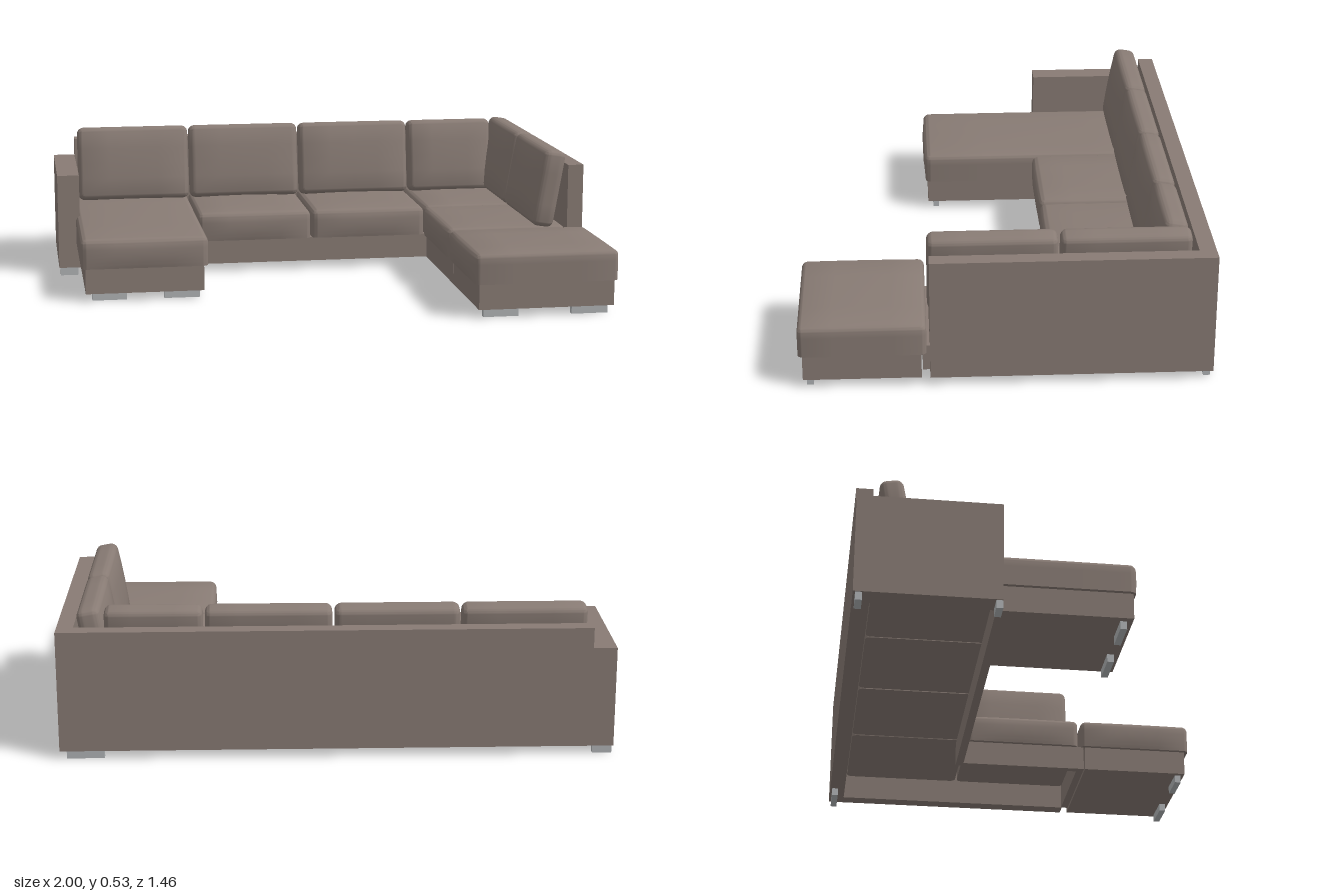
import * as THREE from 'three';
import { toCreasedNormals } from 'three/addons/utils/BufferGeometryUtils.js';

const upholstery = new THREE.MeshStandardMaterial({ color: 0x887b74 });
upholstery.name = 'taupe upholstery';
const metal = new THREE.MeshStandardMaterial({ color: 0xb0b3b5 });
metal.name = 'grey metal';

// Box given by its limits on each axis
function block(name, [x0, x1], [y0, y1], [z0, z1], material = upholstery) {
  const mesh = new THREE.Mesh(new THREE.BoxGeometry(x1 - x0, y1 - y0, z1 - z0), material);
  mesh.position.set((x0 + x1) / 2, (y0 + y1) / 2, (z0 + z1) / 2);
  mesh.name = name;
  return mesh;
}

// Padded cushion facing local +z: rounded edges, swollen top and front
function cushionGeometry(w, h, d, { r = 0.025, crown = 0, bulge = 0, squareBottom = false }) {
  const n = 12, edge = 4;
  const geo = new THREE.BoxGeometry(2, 2, 2, n, n, n);
  const pos = geo.attributes.position;
  const half = [w / 2, h / 2, d / 2];
  // Concentrate the grid lines in the rounded rims
  const spread = (t, s) => {
    const i = Math.round((t + 1) / 2 * n);
    if (i <= edge) return -s + r * i / edge;
    if (i >= n - edge) return s - r * (n - i) / edge;
    return -(s - r) + 2 * (s - r) * (i - edge) / (n - 2 * edge);
  };
  for (let i = 0; i < pos.count; i++) {
    const p = [pos.getX(i), pos.getY(i), pos.getZ(i)].map((t, a) => spread(t, half[a]));
    const inner = p.map((v, a) => {
      const low = a === 1 && squareBottom ? -half[a] : -(half[a] - r);
      return Math.min(half[a] - r, Math.max(low, v));
    });
    const off = p.map((v, a) => v - inner[a]);
    const len = Math.hypot(...off);
    const k = len > 1e-9 ? Math.max(...off.map(Math.abs)) / len : 0;
    const [x, y, z] = inner.map((v, a) => v + off[a] * k);
    const u = x / half[0], v = y / half[1], t = z / half[2];
    const up = crown * Math.max(0, v) * (1 - u * u) * (1 - t ** 4);
    const out = bulge * Math.max(0, t) ** 4 * (1 - u ** 4) * (1 - v * v);
    pos.setXYZ(i, x, y + up, z + out);
  }
  return toCreasedNormals(geo, 0.9);
}

// Seat cushion by its plan limits; side = true makes it face -x
function seat(name, [x0, x1], [z0, z1], side = false) {
  const w = side ? z1 - z0 : x1 - x0, d = side ? x1 - x0 : z1 - z0;
  const geo = cushionGeometry(w, 0.112, d, { r: 0.022, crown: 0.008, bulge: 0.008, squareBottom: true });
  const mesh = new THREE.Mesh(geo, upholstery);
  mesh.position.set((x0 + x1) / 2, 0.182, (z0 + z1) / 2);
  if (side) mesh.rotation.y = -Math.PI / 2;
  mesh.name = name;
  return mesh;
}

// Leaning back cushion spanning a to b along its row
function backCushion(name, a, b, side = false) {
  const mesh = new THREE.Mesh(cushionGeometry(b - a, 0.298, 0.085, { r: 0.026, bulge: 0.01 }), upholstery);
  const mid = (a + b) / 2;
  mesh.position.set(side ? 0.858 : mid, 0.383, side ? mid : -0.584);
  mesh.rotation.set(-0.17, side ? -Math.PI / 2 : 0, 0, 'YXZ');
  mesh.name = name;
  return mesh;
}

export function createModel() {
  const sofa = new THREE.Group();
  sofa.name = 'cornerSofa';
  const low = [0.03, 0.126], high = [0.03, 0.475];

  // Upright panels
  sofa.add(
    block('backPanel', [-0.915, 0.99], high, [-0.73, -0.67]),
    block('sidePanel', [0.93, 0.99], high, [-0.67, 0.265]),
    block('armrest', [-1, -0.915], [0.03, 0.4], [-0.73, -0.22]),
  );

  // Closed bases and the open frame rails
  sofa.add(
    block('chaiseBase', [-0.915, -0.47], low, [-0.235, 0.245]),
    block('ottomanBase', [0.48, 0.985], low, [0.295, 0.71]),
    block('frontRail', [-0.47, 0.48], low, [-0.235, -0.205]),
    block('sideRail', [0.48, 0.51], low, [-0.235, 0.29]),
    block('endRail', [0.51, 0.93], low, [0.262, 0.29]),
  );

  // Seat cushions
  sofa.add(
    seat('chaiseSeat', [-0.93, -0.454], [-0.66, 0.254]),
    seat('middleSeat', [-0.448, 0.002], [-0.66, -0.186]),
    seat('middleSeat', [0.01, 0.465], [-0.66, -0.186]),
    seat('cornerSeat', [0.473, 0.925], [-0.66, -0.2], true),
    seat('sideSeat', [0.464, 0.925], [-0.192, 0.265], true),
    seat('ottomanSeat', [0.464, 0.997], [0.277, 0.725], true),
  );

  // Back cushions along the rear and the side
  for (const [a, b] of [[-0.906, -0.454], [-0.448, 0.002], [0.01, 0.465], [0.473, 0.825]])
    sofa.add(backCushion('backCushion', a, b));
  for (const [a, b] of [[-0.65, -0.192], [-0.184, 0.272]])
    sofa.add(backCushion('sideBackCushion', a, b, true));

  // Flat metal feet: x limits and z centre
  const feet = [
    [-0.995, -0.925, -0.71], [-0.995, -0.925, -0.232],
    [-0.89, -0.76, 0.212], [-0.62, -0.485, 0.212],
    [0.5, 0.63, 0.685], [0.83, 0.965, 0.685], [0.83, 0.965, -0.71],
  ];
  for (const [a, b, z] of feet)
    sofa.add(block('foot', [a, b], [0, 0.03], [z - 0.012, z + 0.012], metal));

  return sofa;
}
